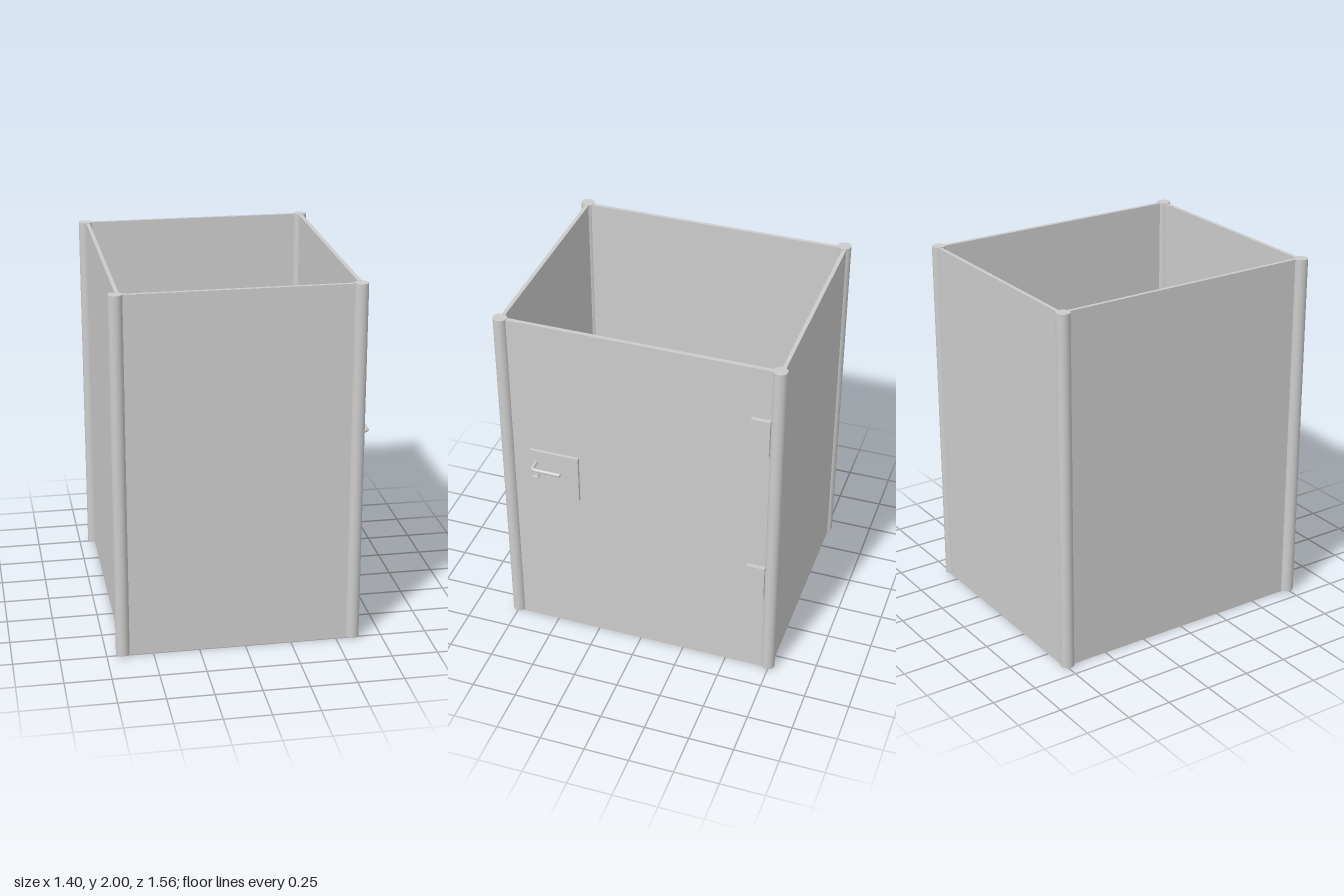
import * as THREE from 'three';

export function createModel() {
  const model = new THREE.Group();
  const material = new THREE.MeshStandardMaterial({ color: 0xcccccc });

  function add(name, geometry, x, y, z, parent = model) {
    const mesh = new THREE.Mesh(geometry, material);
    mesh.name = name;
    mesh.position.set(x, y, z);
    parent.add(mesh);
    return mesh;
  }
  // box given by its extents on each axis
  function box(name, [x0, x1], [y0, y1], [z0, z1], parent) {
    return add(name, new THREE.BoxGeometry(x1 - x0, y1 - y0, z1 - z0),
      (x0 + x1) / 2, (y0 + y1) / 2, (z0 + z1) / 2, parent);
  }

  const leftX = 0.59, rightX = -0.664, postZ = 0.745;

  // round corner posts, just clear of the floor
  for (const x of [leftX, rightX]) {
    for (const z of [postZ, -postZ]) {
      add('cornerPost', new THREE.CylinderGeometry(0.037, 0.037, 1.99, 40), x, 1.005, z);
    }
  }

  // walls and door, their ends let into the posts
  const height = [0, 1.997];
  box('frontPanel', [rightX + 0.02, leftX - 0.02], height, [0.73, 0.751]);
  box('backPanel', [rightX + 0.02, leftX - 0.02], height, [-0.763, -0.742]);
  box('sidePanel', [-0.661, -0.641], height, [-0.725, 0.725]);
  box('door', [0.579, 0.602], height, [-0.725, 0.725]);

  // hinges on the outer face of the door
  for (const y of [0.51, 1.48]) {
    box('hinge', [0.6, 0.624], [y, y + 0.22], [-0.712, -0.61]);
  }

  // lock set, the same on both faces of the door
  const lockSet = new THREE.Group();
  lockSet.name = 'lockSet';
  model.add(lockSet);
  box('lockPlate', [0.565, 0.619], [0.92, 1.203], [0.337, 0.612], lockSet);

  for (const side of [1, -1]) {
    // lever: out from the door, round a bend, then back along it
    const path = new THREE.CurvePath();
    const p = (x, z) => new THREE.Vector3(leftX + side * x, 1.131, z);
    path.add(new THREE.LineCurve3(p(0, 0.576), p(0.075, 0.576)));
    path.add(new THREE.QuadraticBezierCurve3(p(0.075, 0.576), p(0.1, 0.576), p(0.1, 0.551)));
    path.add(new THREE.LineCurve3(p(0.1, 0.551), p(0.1, 0.412)));
    add('handle', new THREE.TubeGeometry(path, 60, 0.01, 16), 0, 0, 0, lockSet);
    const cap = add('handleEnd', new THREE.CircleGeometry(0.01, 16),
      leftX + side * 0.1, 1.131, 0.412, lockSet);
    cap.rotation.y = Math.PI;

    // round lock with a flat thumb turn
    const lock = add('lockCylinder', new THREE.CylinderGeometry(0.018, 0.018, 0.04, 28),
      leftX + side * 0.02, 1.042, 0.578, lockSet);
    lock.rotation.z = Math.PI / 2;
    add('thumbTurn', new THREE.BoxGeometry(0.02, 0.007, 0.032),
      leftX + side * 0.046, 1.042, 0.578, lockSet);
  }

  return model;
}
